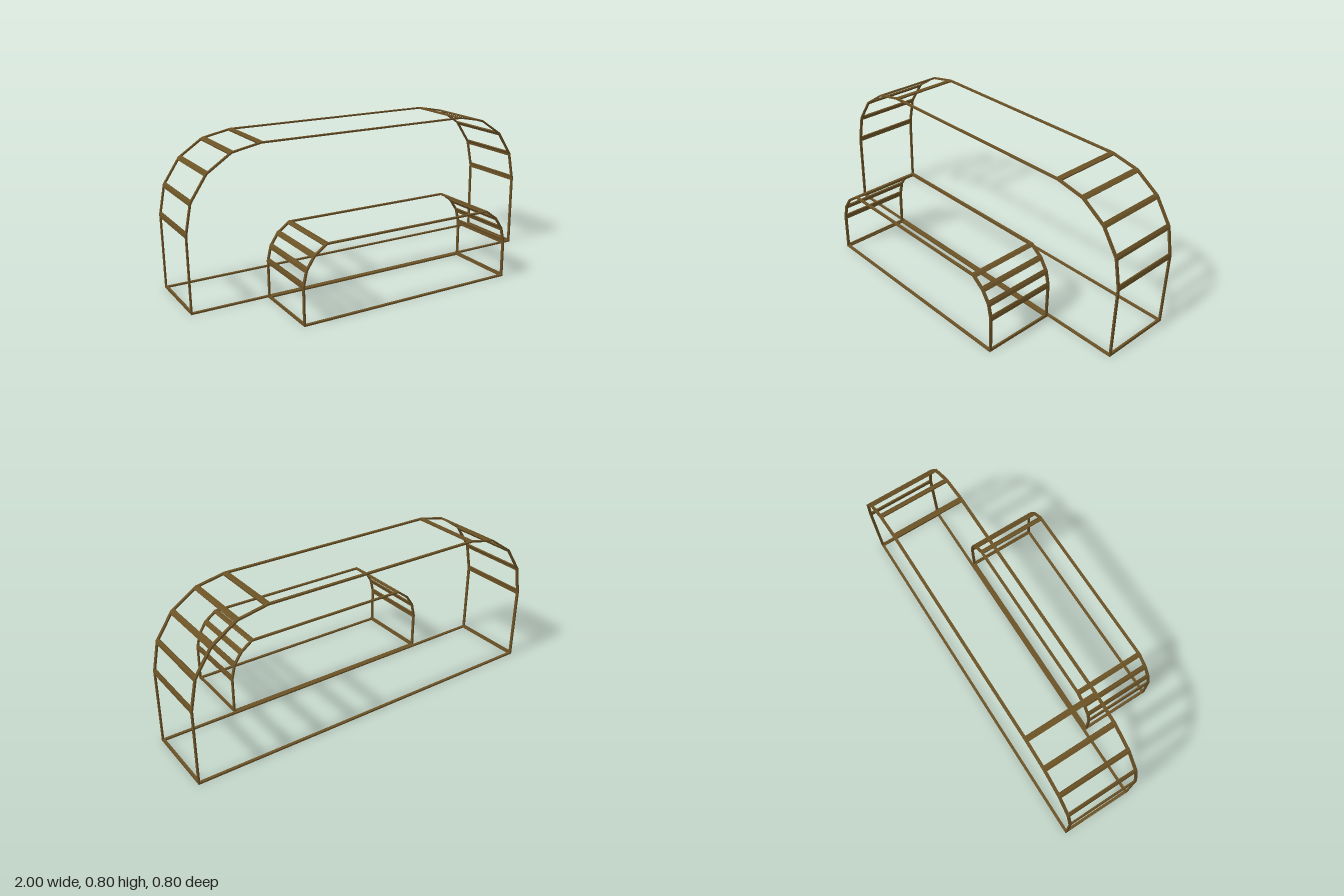
import * as THREE from 'three';

const material = new THREE.MeshStandardMaterial({ color: 0x6b5226 });
const BORDER = 0.015;    // width of the strip round each opening
const THICKNESS = 0.008; // depth of the strips, inward from the outline
const DEPTH = 0.4;       // front to back length of each arch

// Rectangle path, inset by a margin
function trace(path, length, margin) {
  path.moveTo(margin, margin);
  path.lineTo(length - margin, margin);
  path.lineTo(length - margin, DEPTH - margin);
  path.lineTo(margin, DEPTH - margin);
  path.closePath();
  return path;
}

// Thin open frame lying on the outline edge from a to b
function panelFrame(a, b, name) {
  const d = b.clone().sub(a);
  const length = d.length();
  d.normalize();
  const shape = trace(new THREE.Shape(), length, 0);
  shape.holes.push(trace(new THREE.Path(), length, BORDER));
  const geometry = new THREE.ExtrudeGeometry(shape, { depth: THICKNESS, bevelEnabled: false });
  geometry.translate(0, 0, -THICKNESS);
  geometry.applyMatrix4(new THREE.Matrix4().makeBasis(
    new THREE.Vector3(d.x, d.y, 0),
    new THREE.Vector3(0, 0, 1),
    new THREE.Vector3(d.y, -d.x, 0)
  ).setPosition(a.x, a.y, 0));
  const mesh = new THREE.Mesh(geometry, material);
  mesh.name = name;
  return mesh;
}

// Closed ring of frames; half lists the +x side from the ground up
function archFrame(name, half, z) {
  const group = new THREE.Group();
  group.name = name;
  const right = half.map(([x, y]) => new THREE.Vector2(x, y));
  const left = half.map(([x, y]) => new THREE.Vector2(-x, y)).reverse();
  const outline = [...right, ...left];
  const n = half.length;
  outline.forEach((p, i) => {
    const next = outline[(i + 1) % outline.length];
    let part = 'shoulderFrame';
    if (i === n - 1) part = 'topFrame';
    else if (i === 2 * n - 1) part = 'bottomFrame';
    else if (i === 0 || i === 2 * n - 2) part = 'sideFrame';
    group.add(panelFrame(p, next, part));
  });
  group.position.z = z;
  return group;
}

export function createModel() {
  const model = new THREE.Group();
  model.name = 'steppedArchFrame';

  // Tall rear arch with quarter-round shoulders
  const tall = [[1, 0]];
  for (let i = 0; i <= 4; i++) {
    const t = (i / 4) * Math.PI / 2;
    tall.push([0.6 + 0.4 * Math.cos(t), 0.4 + 0.4 * Math.sin(t)]);
  }
  model.add(archFrame('rearArch', tall, -DEPTH));

  // Low front arch
  const low = [[0.598, 0], [0.598, 0.2], [0.58, 0.276], [0.538, 0.339], [0.473, 0.387]];
  model.add(archFrame('frontArch', low, 0));

  return model;
}
